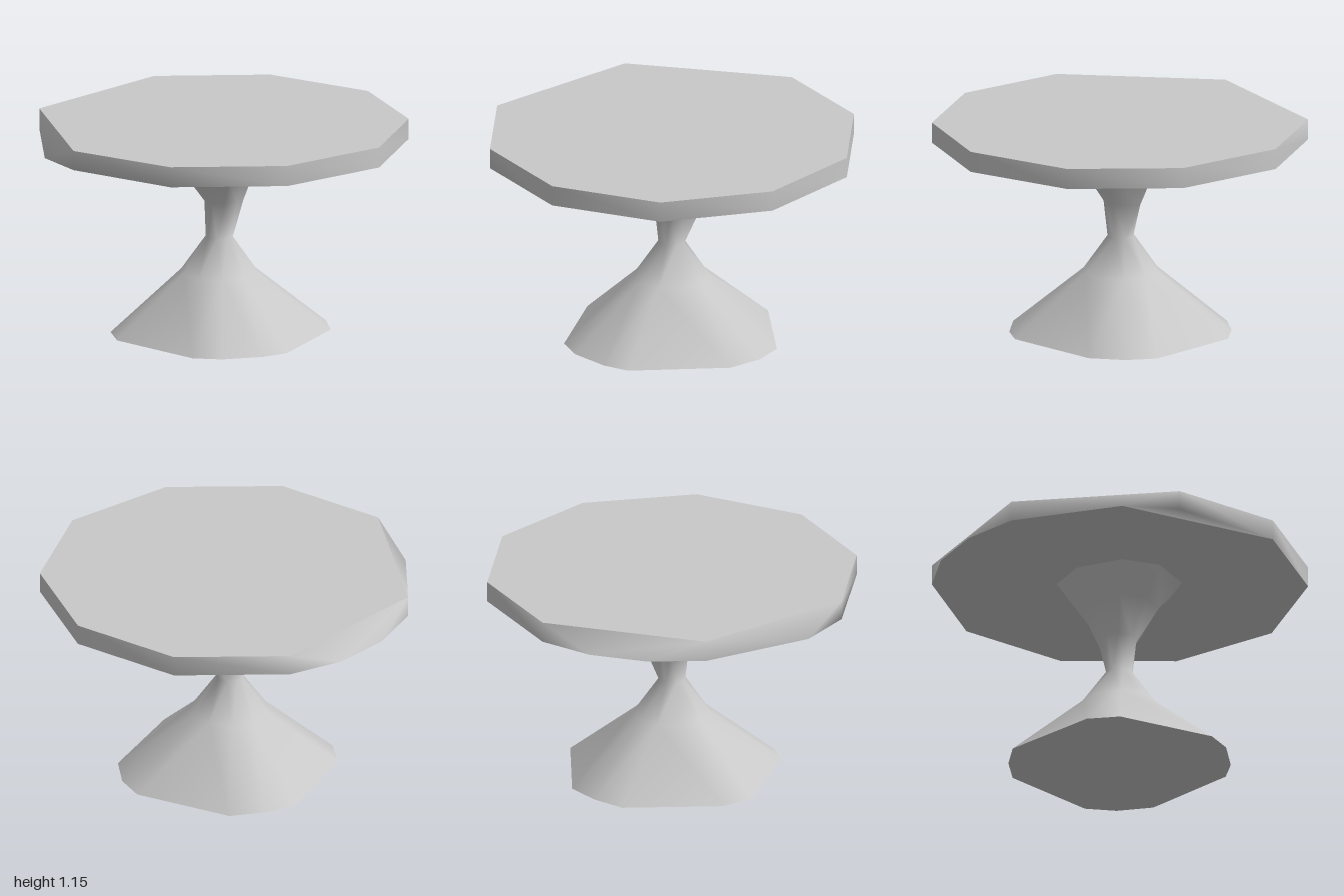
import * as THREE from 'three';

const TAU = Math.PI * 2;
const angleOf = (p) => (Math.atan2(p[2], p[0]) + TAU) % TAU;

// Outline of [x, z] pairs lifted to height y, sorted around the axis
const ring = (y, pairs) =>
  pairs.map(([x, z]) => [x, y, z]).sort((a, b) => angleOf(a) - angleOf(b));

// Outline given as [degrees, radius] pairs
const polarRing = (y, cx, pairs) =>
  ring(y, pairs.map(([d, r]) => [cx + r * Math.cos(d * TAU / 360), r * Math.sin(d * TAU / 360)]));

const regularRing = (y, cx, n, r) =>
  polarRing(y, cx, Array.from({ length: n }, (_, i) => [(i + 0.5) * 360 / n, r]));

function toGeometry(points, index) {
  const g = new THREE.BufferGeometry();
  g.setAttribute('position', new THREE.Float32BufferAttribute(points.flat(), 3));
  g.setIndex(index);
  g.computeVertexNormals();
  return g;
}

// Smooth skin through rings (bottom to top) that may differ in corner count
function skin(rings, extra = []) {
  const index = [...extra];
  let base = 0;
  for (let k = 0; k + 1 < rings.length; k++) {
    const a = rings[k], b = rings[k + 1], n = a.length, m = b.length;
    const ang = (r, i) => angleOf(r[i % r.length]) + (i >= r.length ? TAU : 0);
    let i = 0, j = 0;
    while (i < n || j < m) {
      const A = base + i % n, B = base + n + j % m;
      if (j < m && (i >= n || ang(b, j + 1) <= ang(a, i + 1) + 1e-6)) {
        index.push(A, B, base + n + (j + 1) % m);
        j++;
      } else {
        index.push(A, B, base + (i + 1) % n);
        i++;
      }
    }
    base += n;
  }
  return toGeometry(rings.flat(), index);
}

// Flat convex cap
function cap(points, up) {
  const index = [];
  for (let i = 1; i + 1 < points.length; i++) index.push(0, ...(up ? [i + 1, i] : [i, i + 1]));
  return toGeometry(points, index);
}

export function createModel() {
  const group = new THREE.Group();
  const grey = new THREE.MeshStandardMaterial({ color: 0xc8c8c8 });
  grey.name = 'light grey';
  const add = (name, geometry) => {
    const mesh = new THREE.Mesh(geometry, grey);
    mesh.name = name;
    group.add(mesh);
  };

  // Table top: nine corners above, three more below where the edge is cut away
  const corners = [
    [1, 0.03], [0.785, 0.61], [0.27, 0.955], [-0.345, 0.935], [-0.96, 0.275],
    [-0.79, -0.615], [-0.28, -0.96], [0.34, -0.94], [0.825, -0.56],
  ];
  const upper = ring(1.15, corners);
  const lower = ring(1.04, [...corners, [-0.615, 0.785], [-1, -0.04], [-0.94, -0.35]]);
  const lifted = 3; // this lower corner sits slightly above the underside
  lower[lifted][1] = 1.045;
  add('tableTopSurface', cap(upper, true));
  add('tableTopRim', skin([lower, upper], [lifted - 1, lifted, lifted + 1]));
  add('tableTopUnderside', cap(lower.filter((_, i) => i !== lifted), false));

  // Pedestal: wide foot, narrow waist, flared neck under the top
  const foot = ring(0, [
    [0.541, 0.215], [0.47, 0.347], [0.314, 0.503], [0.168, 0.565], [-0.367, 0.456],
    [-0.488, 0.323], [-0.562, -0.213], [-0.464, -0.373], [-0.332, -0.502],
    [0.208, -0.565], [0.356, -0.482], [0.483, -0.327],
  ]);
  const flare = ring(1.04, [
    [0.315, 0.023], [0.234, 0.228], [0, 0.33], [-0.2, 0.26],
    [-0.32, 0.03], [-0.274, -0.2], [-0.02, -0.33], [0.25, -0.167],
  ]);
  const neck = polarRing(0.72, 0, [
    [0, 0.1], [45, 0.085], [90, 0.09], [135, 0.09], [180, 0.095], [217, 0.095], [266, 0.16], [326, 0.12],
  ]);
  const collar = polarRing(0.89, 0, [
    [0, 0.16], [45, 0.2], [90, 0.215], [130, 0.215], [177, 0.21], [217, 0.215], [266, 0.25], [326, 0.185],
  ]);
  add('pedestal', skin([
    foot, regularRing(0.33, -0.012, 10, 0.205), regularRing(0.52, -0.01, 8, 0.073), neck, collar, flare,
  ]));
  add('pedestalBase', cap(foot, false));
  return group;
}
